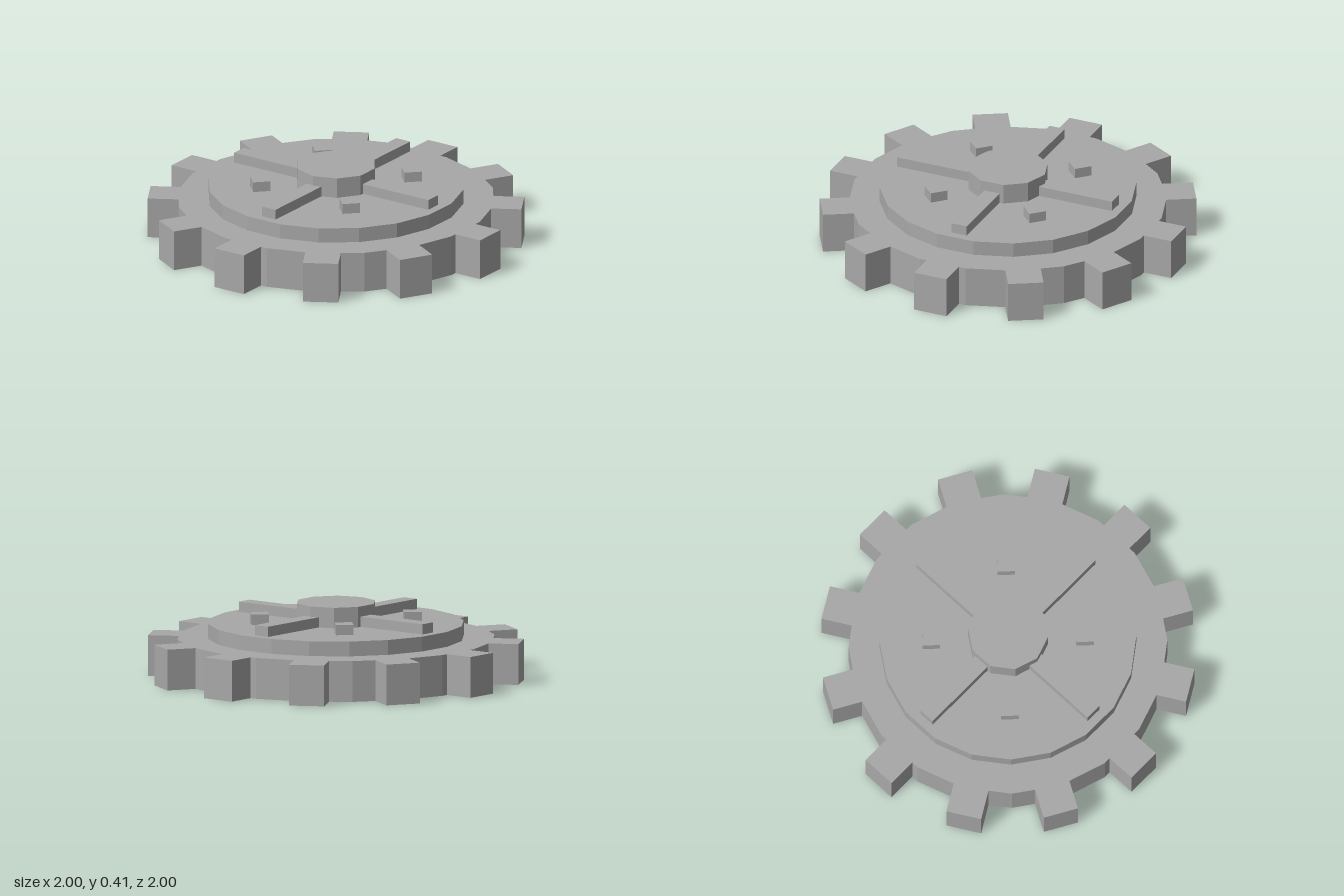
import * as THREE from 'three';

const SIDES = 20, BODY_R = 0.85, TEETH = 12, TOOTH_HALF = 0.095, TIP_R = 1;
const BODY_TOP = 0.22, DISC_TOP = 0.3, DETAIL_TOP = 0.355, HUB_TOP = 0.41;
const rad = THREE.MathUtils.degToRad;

// Distance along direction a, shifted sideways by s, to the twenty-sided rim
function rimDistance(a, s) {
  const apothem = BODY_R * Math.cos(Math.PI / SIDES);
  let best = Infinity;
  for (let k = 0; k < SIDES; k++) {
    const d = k * 2 * Math.PI / SIDES - a;
    if (Math.cos(d) > 0.5) best = Math.min(best, (apothem - s * Math.sin(d)) / Math.cos(d));
  }
  return best;
}

// Toothed outline: four corners per tooth, then the rim corner in the gap after it
function gearShape() {
  const points = [];
  const add = (a, r, s) => points.push(new THREE.Vector2(
    r * Math.cos(a) - s * Math.sin(a), r * Math.sin(a) + s * Math.cos(a)));
  for (let i = 0; i < TEETH; i++) {
    const a = i * 2 * Math.PI / TEETH;
    add(a, rimDistance(a, -TOOTH_HALF), -TOOTH_HALF);
    add(a, TIP_R, -TOOTH_HALF);
    add(a, TIP_R, TOOTH_HALF);
    add(a, rimDistance(a, TOOTH_HALF), TOOTH_HALF);
    add(rad(9 + 36 * (i % 3) + 90 * Math.floor(i / 3)), BODY_R, 0);
  }
  return new THREE.Shape(points);
}

export function createModel() {
  const group = new THREE.Group();
  const metal = new THREE.MeshStandardMaterial({ color: 0xa8a8a8, flatShading: true });
  metal.name = 'grey metal';

  const add = (name, geometry, x = 0, y = 0, z = 0, turn = 0) => {
    const mesh = new THREE.Mesh(geometry, metal);
    mesh.name = name;
    mesh.position.set(x, y, z);
    mesh.rotation.y = turn;
    group.add(mesh);
  };

  // Toothed body
  const body = new THREE.ExtrudeGeometry(gearShape(), { depth: BODY_TOP, bevelEnabled: false });
  body.rotateX(-Math.PI / 2);
  add('gearBody', body);

  // Raised disc and central hub
  const discH = DISC_TOP - BODY_TOP;
  add('raisedDisc', new THREE.CylinderGeometry(0.685, 0.685, discH, SIDES),
    0, BODY_TOP + discH / 2, 0, Math.PI / SIDES);
  const hubH = HUB_TOP - DISC_TOP;
  add('hub', new THREE.CylinderGeometry(0.216, 0.216, hubH, 10), 0, DISC_TOP + hubH / 2, 0);

  // Four spokes with a square stud between each pair
  const h = DETAIL_TOP - DISC_TOP, y = DISC_TOP + h / 2;
  const spoke = new THREE.BoxGeometry(0.45, h, 0.09);
  const stud = new THREE.BoxGeometry(0.094, h, 0.094);
  for (let i = 0; i < 4; i++) {
    const a = i * Math.PI / 2, b = a + Math.PI / 4;
    add('spoke', spoke, 0.405 * Math.cos(a), y, -0.405 * Math.sin(a), a);
    add('stud', stud, 0.41 * Math.cos(b), y, -0.41 * Math.sin(b), b);
  }
  return group;
}
